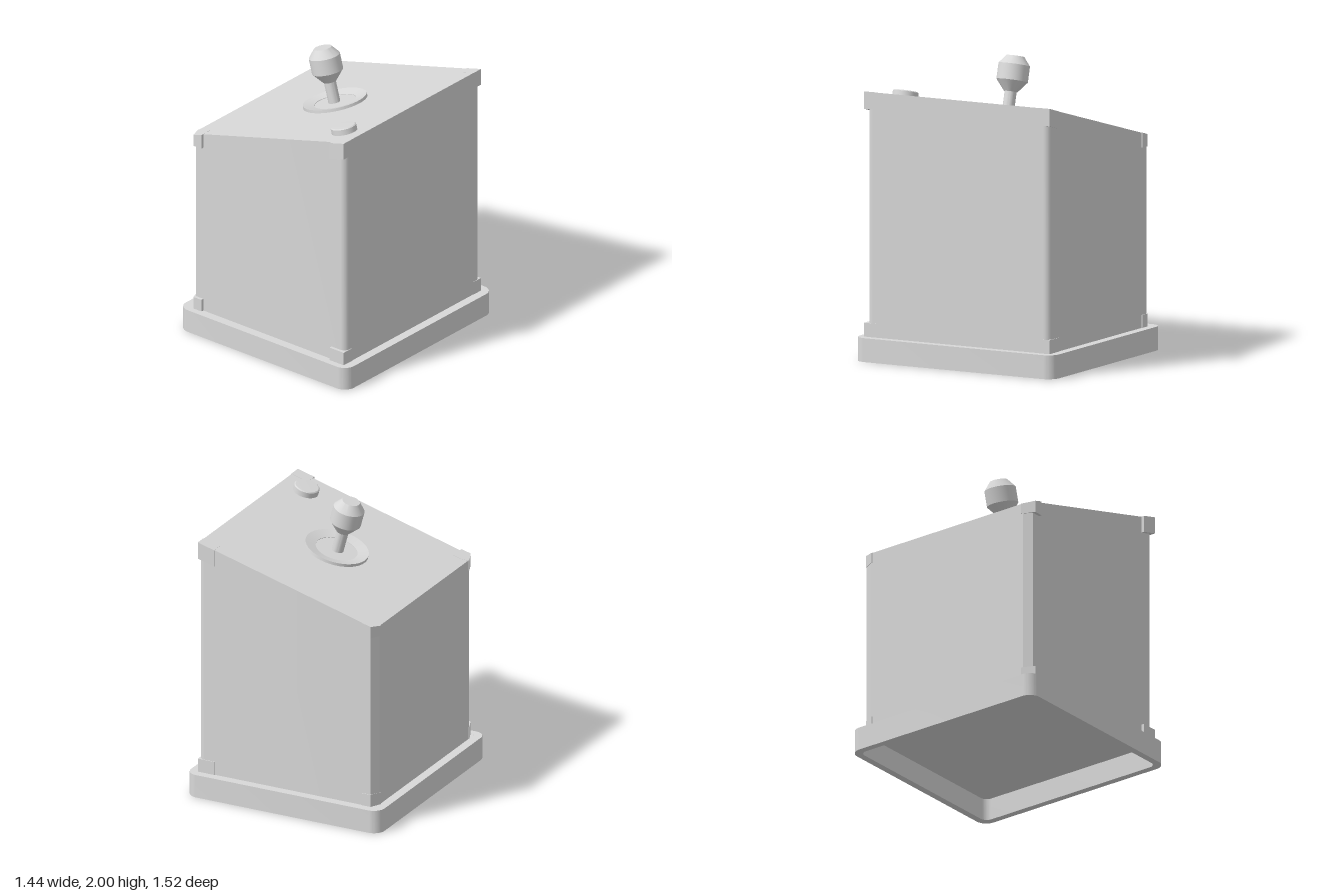
import * as THREE from 'three';
import { toCreasedNormals } from 'three/addons/utils/BufferGeometryUtils.js';

const grey = new THREE.MeshStandardMaterial({ color: 0xd8d8d8 });
grey.name = 'plain grey';

const SLOPE = 0.274;
const deckY = (x) => 1.618 + SLOPE * x;

function roundedRect(w, d, r, Type = THREE.Shape) {
  const s = new Type();
  s.absarc(w - r, d - r, r, 0, Math.PI / 2);
  s.absarc(-w + r, d - r, r, Math.PI / 2, Math.PI);
  s.absarc(-w + r, -d + r, r, Math.PI, Math.PI * 1.5);
  s.absarc(w - r, -d + r, r, Math.PI * 1.5, Math.PI * 2);
  s.closePath();
  return s;
}

// Upright prism on an x/z footprint; bottom and top heights may depend on x
function prism(shape, bottom, top) {
  const g = new THREE.ExtrudeGeometry(shape, { depth: 1, bevelEnabled: false, curveSegments: 8 });
  g.rotateX(-Math.PI / 2);
  const p = g.attributes.position;
  for (let i = 0; i < p.count; i++) {
    const x = p.getX(i);
    p.setY(i, p.getY(i) > 0.5 ? top(x) : bottom(x));
  }
  g.computeVertexNormals();
  return toCreasedNormals(g, 0.5);
}

function add(parent, name, geometry) {
  const m = new THREE.Mesh(geometry, grey);
  m.name = name;
  parent.add(m);
  return m;
}

const lathe = (points, sides = 40) => toCreasedNormals(
  new THREE.LatheGeometry(points.map(([r, y]) => new THREE.Vector2(r, y)), sides), 0.4);

export function createModel() {
  const model = new THREE.Group();
  model.name = 'joystickCabinet';

  // Hollow rounded plinth, open below up to a thin top sheet
  const rim = roundedRect(0.722, 0.76, 0.08);
  rim.holes.push(roundedRect(0.674, 0.712, 0.05, THREE.Path));
  add(model, 'plinthRim', prism(rim, () => 0, () => 0.16));
  add(model, 'plinthSheet', prism(roundedRect(0.69, 0.73, 0.06), () => 0.152, () => 0.159));

  // Cabinet: chamfered corners on the low side, rounded on the high side.
  // Points just short of each arc keep the broad faces evenly shaded.
  const body = new THREE.Shape();
  const r = 0.045, W = 0.659, D = 0.695, e = 0.004;
  body.moveTo(-0.625, -D);
  body.lineTo(W - r - e, -D);
  body.absarc(W - r, -D + r, r, -Math.PI / 2, 0);
  body.lineTo(W, -D + r + e);
  body.lineTo(W, D - r - e);
  body.absarc(W - r, D - r, r, 0, Math.PI / 2);
  body.lineTo(W - r - e, D);
  body.lineTo(-0.625, D);
  body.lineTo(-W, 0.635);
  body.lineTo(-W, -0.635);
  body.closePath();
  add(model, 'cabinet', prism(body, () => 0.154, deckY));

  // Corner guards, at the foot and the deck of each upright edge
  const low = [[-0.665, 0.625], [-0.62, 0.6], [-0.56, 0.6], [-0.56, 1], [-0.627, 1]];
  const high = [[0.54, 0.62], [0.662, 0.62], [0.662, 1], [0.54, 1]];
  for (const side of [1, -1]) {
    const face = side > 0 ? 0.716 : 0.7;
    const outline = (pts) => new THREE.Shape(
      pts.map(([x, z]) => new THREE.Vector2(x, -side * (z === 1 ? face : z))));
    const end = side > 0 ? 'Front' : 'Back';
    add(model, 'lowFootGuard' + end, prism(outline(low), () => 0.155, () => 0.245));
    add(model, 'highFootGuard' + end, prism(outline(high), () => 0.155, () => 0.252));
    add(model, 'lowDeckGuard' + end, prism(outline(low), () => 1.365, (x) => deckY(x) + 0.001));
    add(model, 'highDeckGuard' + end,
      prism(outline(high), (x) => 1.65 + SLOPE * (x - 0.54), (x) => deckY(x) + 0.001));
  }

  // Controls sit square to the sloping deck
  const deck = new THREE.Group();
  deck.name = 'deckControls';
  deck.position.set(0, deckY(0), 0.007);
  deck.rotation.z = Math.atan(SLOPE);
  model.add(deck);

  // Dished collar around the stick
  add(deck, 'stickCollar', lathe(
    [[0.217, -0.01], [0.215, 0.02], [0.142, 0.003], [0.142, -0.01]], 56));

  // Stick with a bevelled knob
  const stick = new THREE.Group();
  stick.name = 'stick';
  stick.position.x = -0.009;
  deck.add(stick);
  add(stick, 'stickShaft', lathe([[0.04, -0.01], [0.04, 0.17]], 24));
  add(stick, 'stickKnob', lathe(
    [[0, 0.145], [0.045, 0.145], [0.105, 0.218], [0.105, 0.325], [0.06, 0.382], [0, 0.382]]));

  // Push button near the front of the high side
  const button = add(deck, 'pushButton', lathe(
    [[0.086, -0.01], [0.086, 0.038], [0.079, 0.044], [0, 0.046]]));
  button.position.set(0.509, 0, 0.494);

  return model;
}
